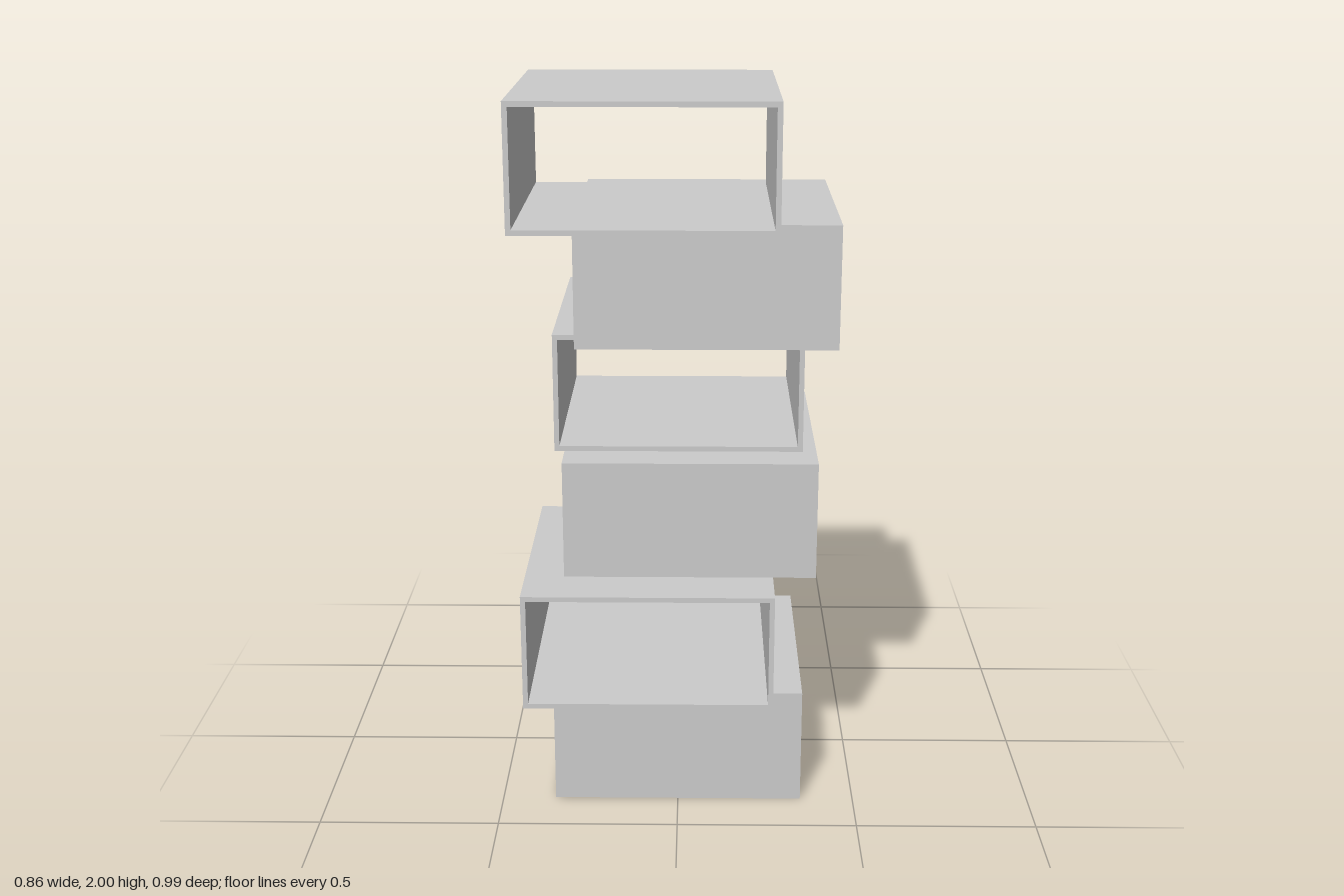
import * as THREE from 'three';

const HEIGHT = 2 / 6, WIDTH = 0.69, DEPTH = 0.70, WALL = 0.014;

// Adds a rectangle outline centred on the origin to a shape or path
function rectangle(path, w, h) {
  path.moveTo(-w / 2, -h / 2);
  path.lineTo(w / 2, -h / 2);
  path.lineTo(w / 2, h / 2);
  path.lineTo(-w / 2, h / 2);
  path.closePath();
  return path;
}

// Rectangular sleeve, open at both ends along z
function sleeveGeometry() {
  const shape = rectangle(new THREE.Shape(), WIDTH, HEIGHT);
  shape.holes.push(rectangle(new THREE.Path(), WIDTH - 2 * WALL, HEIGHT - 2 * WALL));
  const geometry = new THREE.ExtrudeGeometry(shape, { depth: DEPTH, bevelEnabled: false });
  return geometry.translate(0, 0, -DEPTH / 2);
}

export function createModel() {
  const model = new THREE.Group();
  model.name = 'stackedBoxShelf';
  const material = new THREE.MeshStandardMaterial({ color: 0xcccccc });
  const geometry = sleeveGeometry();

  // Centres (x, z) from bottom to top; every other box is turned a quarter
  const centres = [
    [0, 0.009], [-0.081, 0.103], [0.033, -0.036],
    [0, -0.147], [0.076, 0.008], [-0.085, 0.147],
  ];
  centres.forEach(([x, z], i) => {
    const box = new THREE.Mesh(geometry, material);
    box.name = `openBox${i + 1}`;
    box.position.set(x, HEIGHT * (i + 0.5), z);
    if (i % 2 === 0) box.rotation.y = Math.PI / 2;
    model.add(box);
  });
  return model;
}
